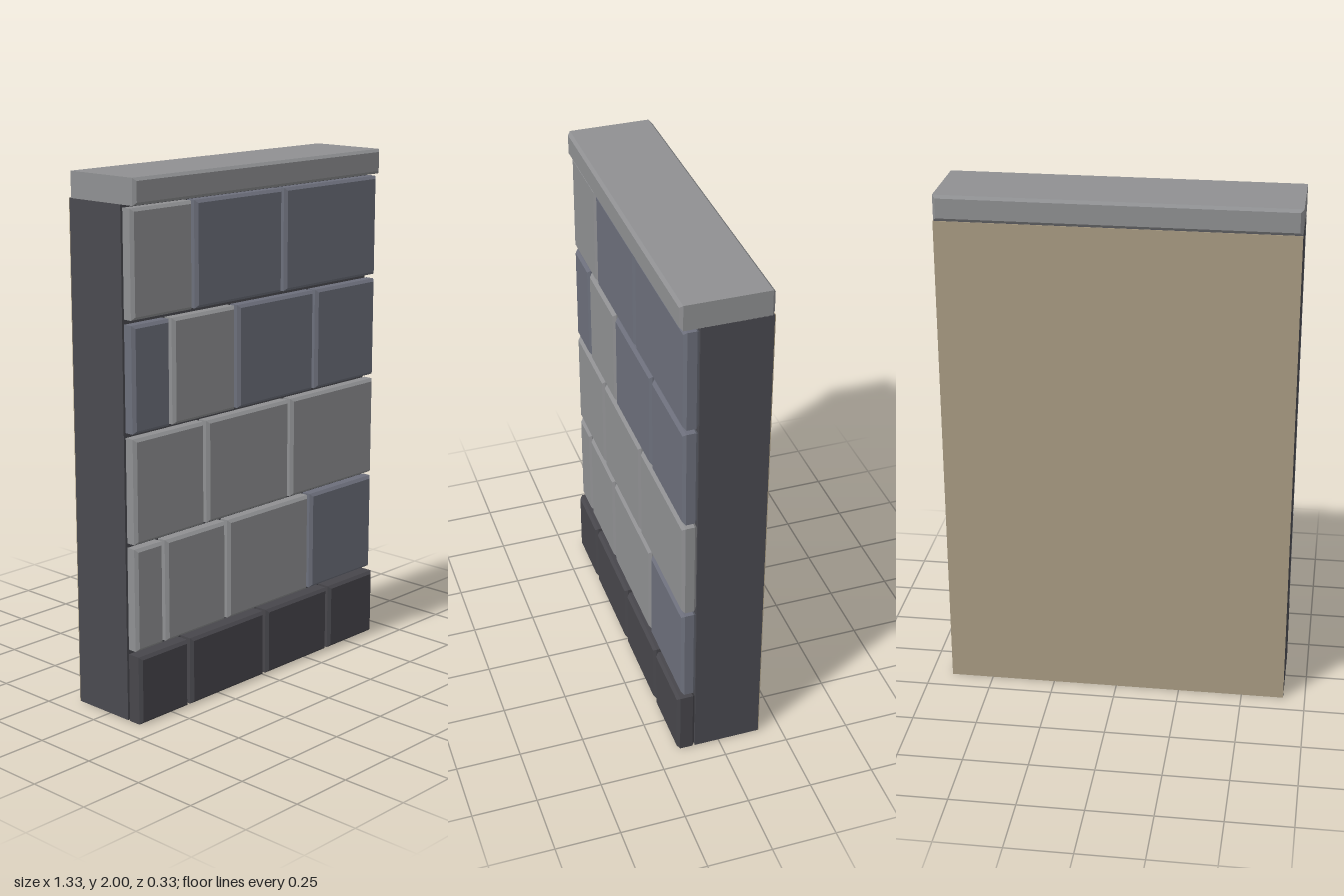
import * as THREE from 'three';

const HALF = 0.665;   // half width of the wall
const GAP = 0.016;    // open joint between stones
const BEVEL = 0.011;  // chamfer on front and back rims

const material = (name, color) => {
  const m = new THREE.MeshStandardMaterial({ color });
  m.name = name;
  return m;
};

// Block whose front and back rims are chamfered
function chamferedBlock(x0, x1, y0, y1, z0, z1) {
  const b = BEVEL;
  const shape = new THREE.Shape([
    new THREE.Vector2(x0 + b, y0 + b), new THREE.Vector2(x1 - b, y0 + b),
    new THREE.Vector2(x1 - b, y1 - b), new THREE.Vector2(x0 + b, y1 - b),
  ]);
  const geo = new THREE.ExtrudeGeometry(shape, {
    depth: z1 - z0 - 2 * b, bevelEnabled: true, bevelSize: b, bevelThickness: b, bevelSegments: 1,
  });
  return geo.translate(0, 0, z0 + b);
}

export function createModel() {
  const wall = new THREE.Group();
  wall.name = 'stoneWall';

  const grey = material('greyStone', 0x8f9092);
  const blue = material('blueGreyStone', 0x6c6f7b);
  const dark = material('darkBaseStone', 0x47464b);
  const mortar = material('darkMortar', 0x4a4a50);
  const plaster = material('tanPlaster', 0xa99c83);

  const add = (parent, name, geo, mat) => {
    const mesh = new THREE.Mesh(geo, mat);
    mesh.name = name;
    parent.add(mesh);
    return mesh;
  };

  // Solid core behind the stones
  add(wall, 'core', new THREE.BoxGeometry(2 * HALF, 1.905, 0.26), mortar).position.set(0, 0.9525, -0.034);

  // Plastered back face
  add(wall, 'backPlaster', new THREE.BoxGeometry(2 * HALF, 1.905, 0.003), plaster).position.set(0, 0.9525, -0.1655);

  // Courses from the ground up: height range, front depth, joint centres, stone colours
  const courses = [
    { name: 'baseCourse', y: [0, 0.262], z: 0.167, joints: [-0.408, 0.01, 0.384], mats: [dark, dark, dark, dark] },
    { name: 'course1', y: [0.28, 0.67], z: 0.152, joints: [-0.52, -0.19, 0.283], mats: [grey, grey, grey, blue] },
    { name: 'course2', y: [0.687, 1.078], z: 0.152, joints: [-0.302, 0.163], mats: [grey, grey, grey] },
    { name: 'course3', y: [1.096, 1.486], z: 0.152, joints: [-0.475, -0.136, 0.302], mats: [blue, grey, blue, blue] },
    { name: 'course4', y: [1.504, 1.894], z: 0.152, joints: [-0.358, 0.119], mats: [grey, blue, blue] },
  ];
  for (const { name, y, z, joints, mats } of courses) {
    const course = new THREE.Group();
    course.name = name;
    mats.forEach((mat, i) => {
      const x0 = i === 0 ? -HALF : joints[i - 1] + GAP / 2;
      const x1 = i === joints.length ? HALF : joints[i] - GAP / 2;
      add(course, `stone${i + 1}`, chamferedBlock(x0, x1, y[0], y[1], 0.095, z), mat);
    });
    wall.add(course);
  }

  // Coping slab on top
  add(wall, 'copingSlab', chamferedBlock(-HALF, HALF, 1.904, 2, -0.167, 0.167), grey);

  return wall;
}
